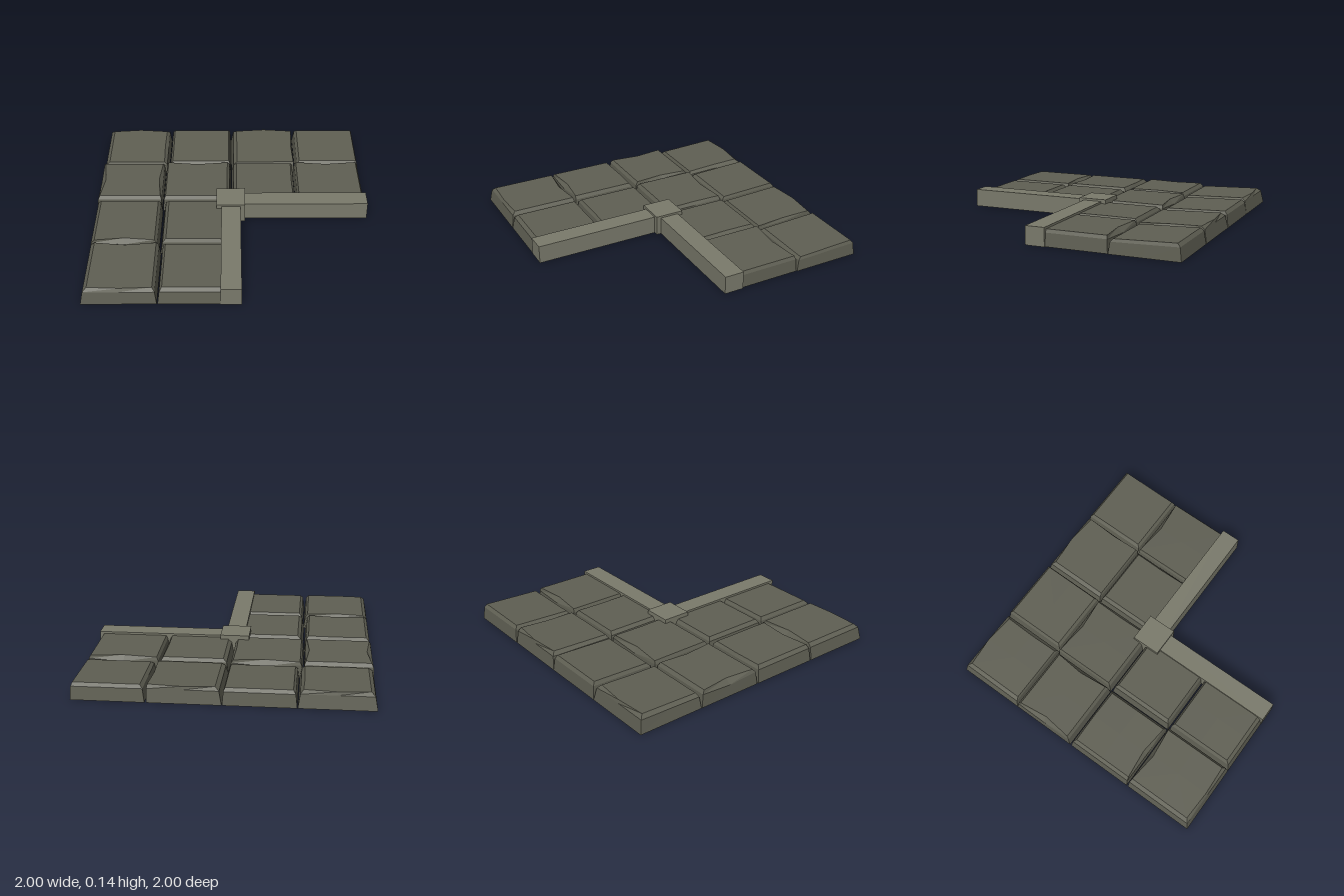
import * as THREE from 'three';

const stone = new THREE.MeshStandardMaterial({ color: 0x5f5f53, flatShading: true, side: THREE.DoubleSide });
const trim = new THREE.MeshStandardMaterial({ color: 0x7a7a6b, flatShading: true, side: THREE.DoubleSide });

// Eight points round a rectangle (corners and edge middles), counterclockwise from above.
// Each middle is pushed inwards by bend = [back, right, front, left].
function ring([x0, x1, z0, z1], y, bend = [0, 0, 0, 0]) {
  const xm = (x0 + x1) / 2, zm = (z0 + z1) / 2;
  const [back, right, front, left] = bend;
  return [
    [x0, z0], [x0 + left, zm], [x0, z1], [xm, z1 - front],
    [x1, z1], [x1 - right, zm], [x1, z0], [xm, z0 + back],
  ].map(([x, z]) => new THREE.Vector3(x, y, z));
}

// Hollow stone tile: foot, bevel and top rings, closed by a fan, open underneath
function tile(name, { foot, top, bend, yBack = 0.115, yFront = 0.115 }) {
  const low = ring(foot, 0);
  const high = ring(top, 0, bend);
  high.forEach((p) => {
    p.y = THREE.MathUtils.mapLinear(p.z, top[2], top[3], yBack, yFront);
  });
  // The bevel drops lower where an edge is chipped
  const chipAt = { 1: bend[3], 3: bend[2], 5: bend[1], 7: bend[0] };
  const middle = ring(foot.map((v, i) => v * 0.6 + top[i] * 0.4), 0);
  middle.forEach((p, i) => {
    p.y = high[i].y * ((chipAt[i] || 0) > 0.015 ? 0.68 : 0.8);
  });

  const pos = [];
  const tri = (...points) => points.forEach((p) => pos.push(p.x, p.y, p.z));
  const centre = new THREE.Vector3();
  high.forEach((p) => centre.addScaledVector(p, 1 / 8));
  for (let i = 0; i < 8; i++) {
    const j = (i + 1) % 8;
    for (const [a, b] of [[low, middle], [middle, high]]) {
      tri(a[i], a[j], b[j]);
      tri(a[i], b[j], b[i]);
    }
    tri(centre, high[i], high[j]);
  }
  const geo = new THREE.BufferGeometry();
  geo.setAttribute('position', new THREE.Float32BufferAttribute(pos, 3));
  geo.computeVertexNormals();
  const mesh = new THREE.Mesh(geo, stone);
  mesh.name = name;
  return mesh;
}

// Box standing on the ground without its bottom face
function hollowBox(name, x0, x1, z0, z1, h) {
  const geo = new THREE.BoxGeometry(x1 - x0, h, z1 - z0);
  const index = Array.from(geo.index.array);
  index.splice(18, 6);
  geo.setIndex(index);
  geo.clearGroups();
  geo.translate((x0 + x1) / 2, h / 2, (z0 + z1) / 2);
  const mesh = new THREE.Mesh(geo, trim);
  mesh.name = name;
  return mesh;
}

export function createModel() {
  const model = new THREE.Group();
  model.name = 'cornerFloor';

  // Each tile: foot and top as [x0, x1, z0, z1], bend as [back, right, front, left]
  const rows = [
    [
      { foot: [-1, -0.49, -1, -0.515], top: [-0.955, -0.525, -0.955, -0.53], bend: [-0.02, 0.005, 0, 0], yFront: 0.1 },
      { foot: [-0.487, -0.003, -1, -0.515], top: [-0.46, -0.02, -0.97, -0.545], bend: [0, 0, 0, 0], yFront: 0.1 },
      { foot: [0, 0.492, -1, -0.515], top: [0.045, 0.488, -0.96, -0.53], bend: [-0.02, 0.01, 0, 0], yFront: 0.1 },
      { foot: [0.503, 0.995, -1, -0.515], top: [0.535, 0.98, -0.97, -0.545], bend: [0, 0, 0, 0], yFront: 0.1 },
    ],
    [
      { foot: [-1, -0.515, -0.51, -0.03], top: [-0.98, -0.53, -0.48, -0.06], bend: [0, 0.02, 0, 0.025] },
      { foot: [-0.51, -0.003, -0.51, -0.03], top: [-0.49, -0.03, -0.5, -0.06], bend: [0.025, 0.005, 0, 0] },
      { foot: [0, 0.482, -0.51, -0.03], top: [0.04, 0.46, -0.485, -0.06], bend: [0, 0.005, 0, 0] },
      { foot: [0.485, 0.99, -0.51, -0.03], top: [0.505, 0.97, -0.5, -0.06], bend: [0.025, 0, 0, 0] },
    ],
    [
      { foot: [-1, -0.51, -0.02, 0.475], top: [-0.96, -0.54, 0.01, 0.465], bend: [-0.005, 0, 0.022, 0] },
      { foot: [-0.5, -0.005, -0.02, 0.475], top: [-0.46, -0.03, 0.01, 0.45], bend: [0, 0, 0, 0] },
    ],
    [
      { foot: [-1, -0.495, 0.485, 0.998], top: [-0.955, -0.525, 0.495, 0.96], bend: [0.025, 0, -0.01, 0] },
      { foot: [-0.49, -0.005, 0.485, 0.998], top: [-0.46, -0.03, 0.51, 0.957], bend: [0, 0, 0, 0] },
    ],
  ];
  rows.forEach((row, r) => row.forEach((t, c) => model.add(tile(`tileRow${r + 1}Column${c + 1}`, t))));

  // Edging beams along the inner corner, and the block where they meet
  model.add(hollowBox('frontBeam', -0.073, 0.066, 0, 1, 0.13));
  model.add(hollowBox('sideBeam', 0, 1, -0.073, 0.066, 0.13));
  model.add(hollowBox('cornerBlock', -0.11, 0.1, -0.11, 0.1, 0.145));
  return model;
}
